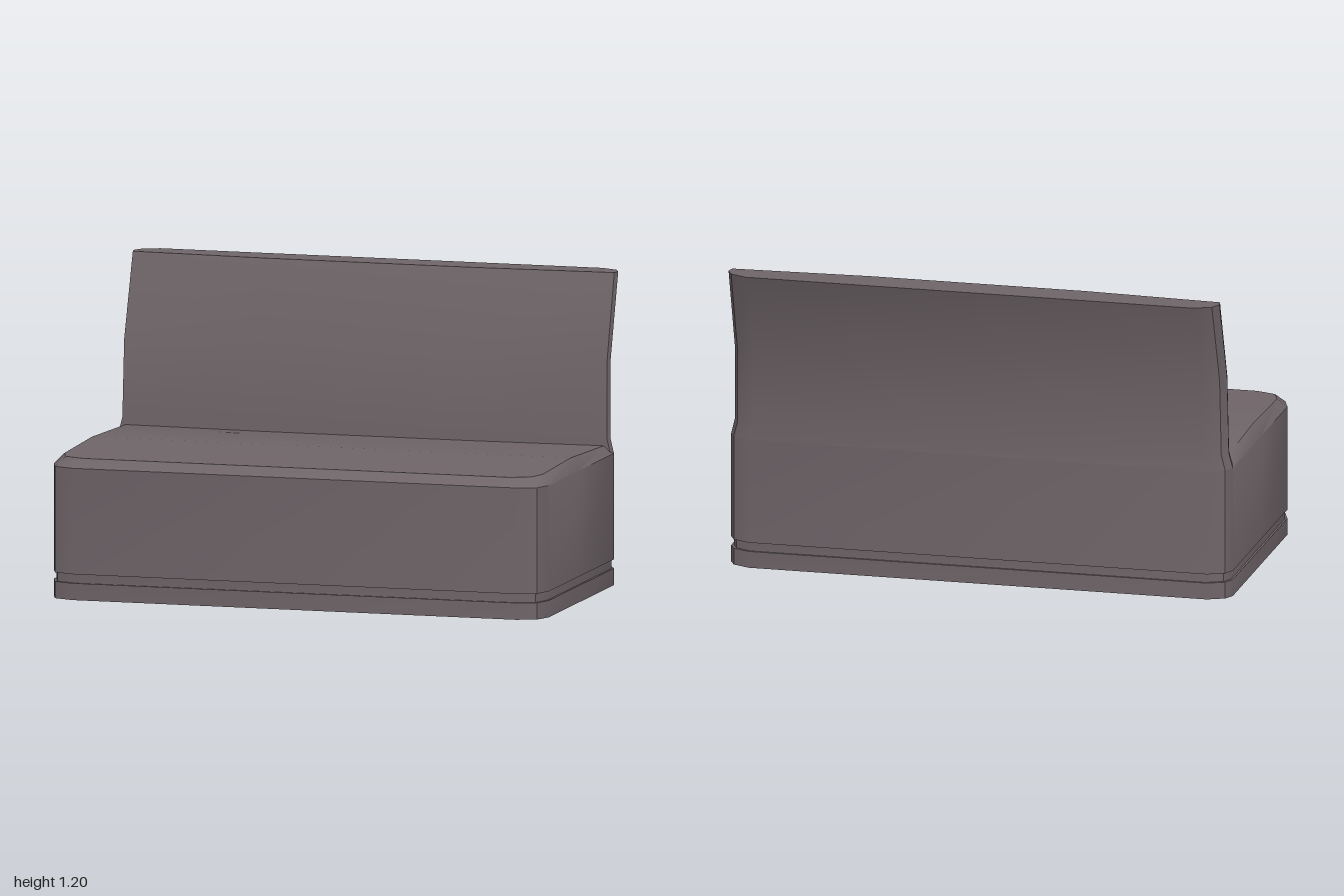
import * as THREE from 'three';
import { toCreasedNormals } from 'three/addons/utils/BufferGeometryUtils.js';

// Each ring is a right half-outline, front to back, as [x, y, z]; it is mirrored to a full loop.
function loft(halfRings) {
  const rings = halfRings.map(h => [...h, ...[...h].reverse().map(([x, y, z]) => [-x, y, z])]);
  const n = rings[0].length, last = rings.length - 1;
  const idx = [];
  const quad = (a, b, c, d) => idx.push(a, b, c, a, c, d);
  for (let k = 0; k < last; k++)
    for (let i = 0; i < n; i++) {
      const j = (i + 1) % n;
      quad(k * n + i, k * n + j, (k + 1) * n + j, (k + 1) * n + i);
    }
  // Caps run as strips between mirrored points
  for (let i = 0; i < n / 2 - 1; i++) {
    const m = n - 1 - i, t = last * n;
    quad(t + i, t + i + 1, t + m - 1, t + m);
    quad(m, m - 1, i + 1, i);
  }
  const geo = new THREE.BufferGeometry();
  geo.setAttribute('position', new THREE.Float32BufferAttribute(rings.flat(2), 3));
  geo.setIndex(idx);
  return toCreasedNormals(geo, 0.65);
}

// Seat footprint with softened corners
const footprint = [
  [0.886, 0.578], [0.963, 0.55], [0.989, 0.48], [0.989, 0.08],
  [0.989, -0.388], [0.969, -0.428], [0.904, -0.458],
];

// Footprint ring, optionally inset; height may depend on z
const seatRing = (height, inset = 0) => footprint.map(([x, z]) => {
  const zi = z - Math.sign(z - 0.08) * inset;
  return [x - inset, typeof height === 'function' ? height(zi) : height, zi];
});

// Gentle crown across the seat depth
const crown = z => 0.558 - (z > 0.08 ? (z - 0.08) * 0.028 : (0.08 - z) * 0.037);

// Backrest section: bowed front, rounded rear corners
const backRing = (y, w, front, rear) => [
  [0.42, y, front], [w - 0.006, y, front - 0.026], [w, y, rear + 0.07],
  [w - 0.02, y, rear + 0.03], [w - 0.085, y, rear],
];

export function createModel() {
  const group = new THREE.Group();
  const upholstery = new THREE.MeshStandardMaterial({ color: 0x6f6569 });
  upholstery.name = 'taupe upholstery';

  const add = (name, rings) => {
    const mesh = new THREE.Mesh(loft(rings), upholstery);
    mesh.name = name;
    group.add(mesh);
  };

  add('plinth', [seatRing(0), seatRing(0.065)]);
  add('recessedBand', [seatRing(0.065, 0.008), seatRing(0.1, 0.008)]);
  add('seat', [seatRing(0.1), seatRing(0.51), seatRing(crown, 0.033)]);
  add('backrest', [
    backRing(0.51, 0.989, -0.336, -0.458),
    backRing(0.57, 0.974, -0.337, -0.46),
    backRing(0.87, 0.971, -0.351, -0.474),
    backRing(1.195, 0.968, -0.456, -0.585),
  ]);

  // The bench stands slightly turned
  group.rotation.y = 0.0245;
  group.name = 'bench';
  return group;
}
